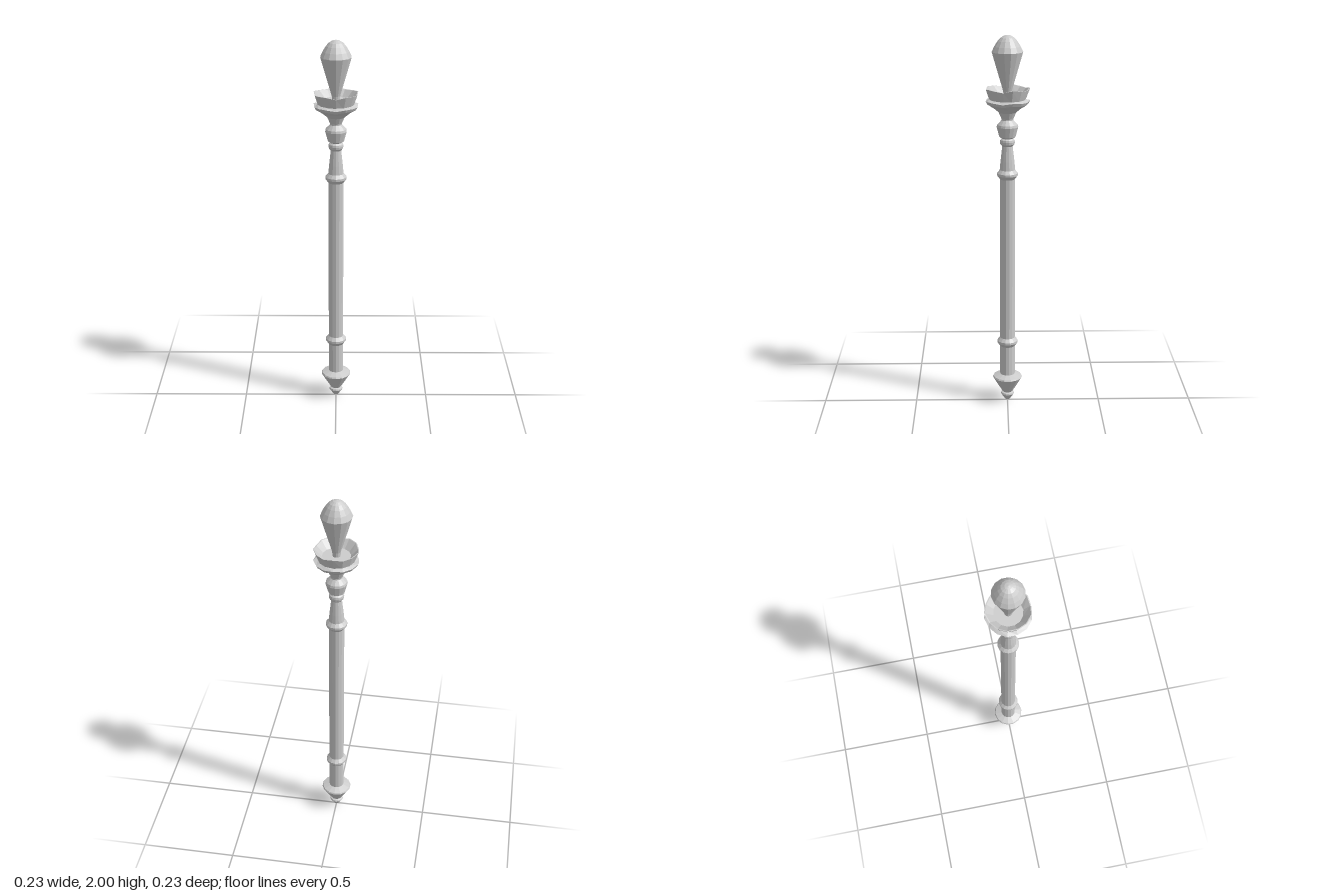
import * as THREE from 'three';

const SIDES = 14;

export function createModel() {
  const group = new THREE.Group();
  const stone = new THREE.MeshStandardMaterial({ color: 0xcccccc, flatShading: true });
  stone.name = 'pale grey';

  // Turned part from [radius, height] pairs, listed from bottom to top
  function turned(name, profile) {
    const points = profile.map(([r, y]) => new THREE.Vector2(r, y));
    const mesh = new THREE.Mesh(new THREE.LatheGeometry(points, SIDES), stone);
    mesh.name = name;
    group.add(mesh);
    return mesh;
  }

  // Raise and lower the vertices above a height in gentle scallops
  function scallop(mesh, minY, maxY, lift, spread) {
    const p = mesh.geometry.attributes.position;
    for (let i = 0; i < p.count; i++) {
      const x = p.getX(i), y = p.getY(i), z = p.getZ(i);
      if (y < minY || y > maxY) continue;
      const wave = Math.cos(5 * Math.atan2(x, -z));
      const k = 1 + spread * wave;
      p.setXYZ(i, x * k, y + lift * wave, z * k);
    }
    mesh.geometry.computeVertexNormals();
  }

  // Pointed foot
  turned('footTip', [[0, 0], [0.014, 0.008], [0.036, 0.04], [0.034, 0.048], [0.022, 0.053]]);
  turned('footCone', [[0.022, 0.05], [0.03, 0.058], [0.08, 0.14], [0.076, 0.147], [0.04, 0.16]]);

  // Long shaft and its two collars
  turned('shaft', [[0.04, 0.155], [0.04, 1.27]]);
  for (const [name, y] of [['lowerCollar', 0.348], ['upperCollar', 1.28]]) {
    turned(name, [[0.039, y - 0.027], [0.055, y - 0.006], [0.055, y + 0.006], [0.038, y + 0.026]]);
  }

  // Tapered neck with a ring and a bulb
  turned('neck', [[0.041, 1.295], [0.036, 1.35], [0.027, 1.43], [0.027, 1.48]]);
  turned('neckRing', [[0.026, 1.427], [0.037, 1.44], [0.039, 1.452], [0.037, 1.462], [0.026, 1.472]]);
  turned('neckBulb', [[0.026, 1.468], [0.042, 1.478], [0.056, 1.53], [0.053, 1.542], [0.031, 1.565]]);

  // Flared dish with a scalloped lip
  const dish = turned('dish', [[0.031, 1.56], [0.031, 1.572], [0.045, 1.605], [0.075, 1.63],
    [0.106, 1.65], [0.114, 1.665], [0.092, 1.674]]);
  scallop(dish, 1.64, 1.67, 0.004, 0.025);

  // Flared crown, hollow inside
  const crown = turned('crown', [[0.092, 1.668], [0.113, 1.727], [0.108, 1.727], [0.072, 1.69], [0, 1.69]]);
  scallop(crown, 1.72, 1.74, 0.006, 0.03);

  // Tapered finial with a domed top
  turned('finial', [[0.02, 1.69], [0.022, 1.715], [0.08, 1.914], [0.067, 1.942],
    [0.05, 1.969], [0.035, 1.986], [0.018, 1.996], [0, 2]]);

  return group;
}
